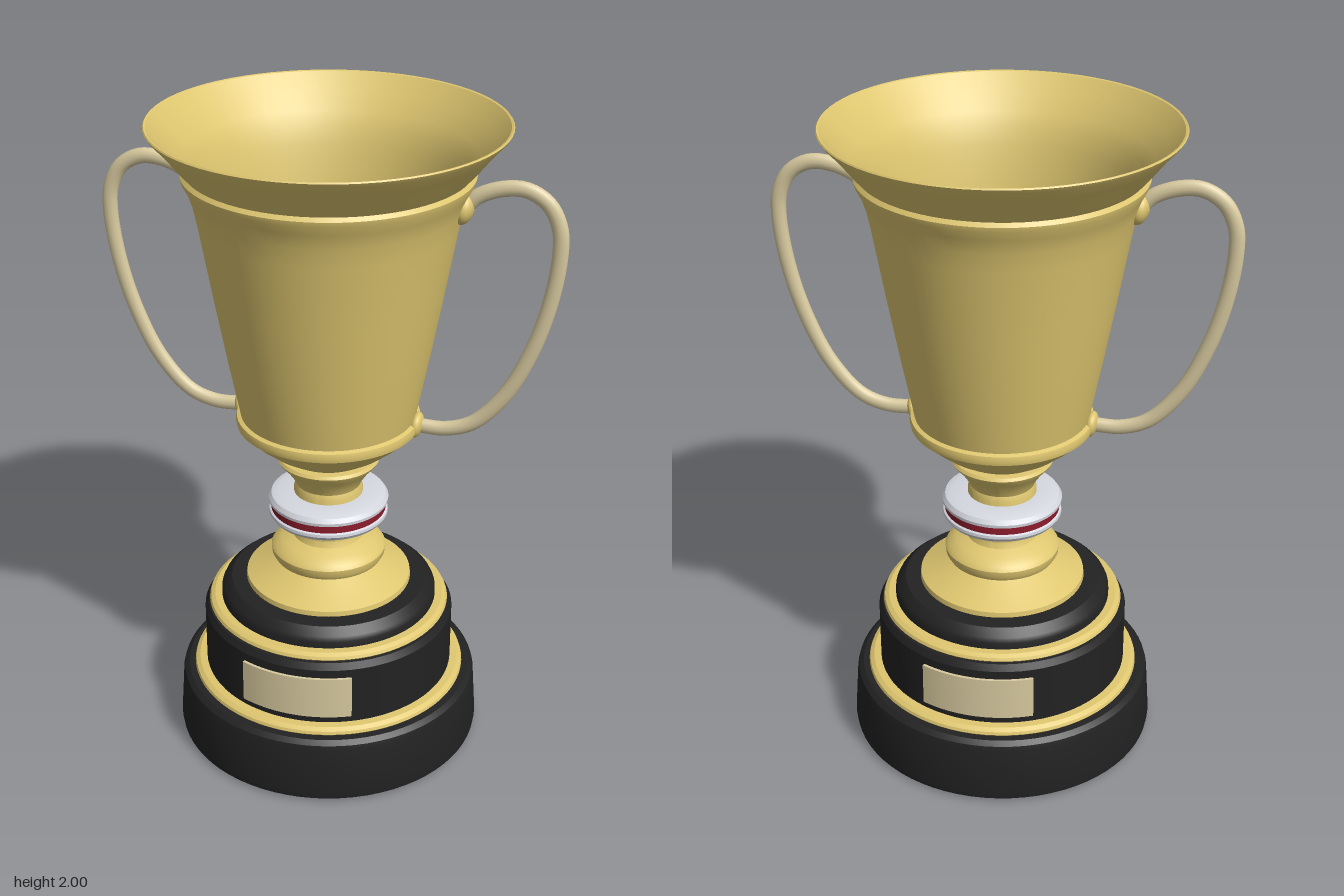
import * as THREE from 'three';
import { toCreasedNormals } from 'three/addons/utils/BufferGeometryUtils.js';

const material = (name, color, side = THREE.FrontSide) => {
  const m = new THREE.MeshStandardMaterial({ color, side });
  m.name = name;
  return m;
};

// Turned part from [radius, y] points listed bottom to top, seen from outside
function turned(name, mat, points, start = 0, length = Math.PI * 2, segments = 72) {
  const profile = points.map(([r, y]) => new THREE.Vector2(r, y));
  const geo = toCreasedNormals(new THREE.LatheGeometry(profile, segments, start, length), 0.45);
  const mesh = new THREE.Mesh(geo, mat);
  mesh.name = name;
  return mesh;
}

export function createModel() {
  const gold = material('gold', 0xdfc770);
  const paleGold = material('pale gold', 0xd9cba0, THREE.DoubleSide);
  const black = material('black', 0x222222);
  const silver = material('silver', 0xd6d8e0);
  const red = material('dark red', 0x8c1c2c);

  const trophy = new THREE.Group();
  trophy.name = 'trophy';

  // Stepped plinth with two gold trim rings
  trophy.add(
    turned('plinthBase', black, [[0, 0], [0.465, 0], [0.477, 0.01], [0.48, 0.03], [0.469, 0.185], [0.465, 0.2], [0.45, 0.212], [0, 0.212]]),
    turned('lowerTrim', gold, [[0.38, 0.208], [0.425, 0.21], [0.431, 0.217], [0.428, 0.226], [0.415, 0.234], [0.38, 0.236]]),
    turned('plinthDrum', black, [[0.392, 0.21], [0.392, 0.425], [0.38, 0.445], [0, 0.445]]),
    turned('upperTrim', gold, [[0.33, 0.442], [0.37, 0.446], [0.377, 0.453], [0.373, 0.462], [0.36, 0.469], [0.3, 0.47]]),
    turned('plinthStep', black, [[0.338, 0.465], [0.337, 0.49], [0.33, 0.505], [0.305, 0.526], [0, 0.526]]),
  );

  // Curved plaques on the front and back of the drum
  const half = Math.asin(0.172 / 0.401);
  for (const [name, angle] of [['frontPlaque', 0], ['backPlaque', Math.PI]]) {
    trophy.add(turned(name, paleGold,
      [[0.392, 0.26], [0.401, 0.26], [0.401, 0.398], [0.392, 0.398]], angle - half, half * 2, 16));
  }

  // Gold foot and stem
  trophy.add(turned('stem', gold, [
    [0.25, 0.525], [0.258, 0.53], [0.256, 0.546], [0.225, 0.56], [0.18, 0.582], [0.15, 0.598],
    [0.168, 0.606], [0.176, 0.62], [0.178, 0.64], [0.17, 0.652], [0.145, 0.668], [0.11, 0.682],
    [0.103, 0.7], [0.106, 0.74], [0.106, 0.845], [0.1, 0.862], [0.108, 0.88], [0.13, 0.913],
    [0.152, 0.938], [0.156, 0.946], [0.15, 0.955], [0.11, 0.957],
  ]));

  // Silver collar with a red band in its groove
  trophy.add(
    turned('lowerCollar', silver, [[0.1, 0.742], [0.155, 0.742], [0.175, 0.75], [0.184, 0.763], [0.183, 0.772], [0.174, 0.777], [0.1, 0.777]]),
    turned('collarBand', red, [[0.177, 0.775], [0.177, 0.798]]),
    turned('upperCollar', silver, [[0.1, 0.796], [0.174, 0.796], [0.184, 0.802], [0.185, 0.812], [0.176, 0.825], [0.155, 0.832], [0.1, 0.832]]),
  );

  // Hollow cup: up the outside, over the rim and down the inside
  trophy.add(turned('cup', gold, [
    [0, 0.95], [0.12, 0.952], [0.15, 0.97], [0.19, 0.996], [0.235, 1.033], [0.268, 1.064],
    [0.276, 1.07], [0.279, 1.085], [0.276, 1.098], [0.264, 1.103],
    [0.3, 1.29], [0.336, 1.49], [0.374, 1.71], [0.386, 1.77], [0.401, 1.815], [0.416, 1.843],
    [0.419, 1.858], [0.41, 1.869],
    [0.437, 1.9], [0.476, 1.95], [0.508, 1.985], [0.515, 1.996], [0.512, 2.0], [0.506, 1.998],
    [0.465, 1.95], [0.426, 1.9], [0.402, 1.86], [0.387, 1.81], [0.376, 1.77], [0.362, 1.7],
    [0.325, 1.49], [0.289, 1.29], [0.258, 1.12], [0.24, 1.07], [0.2, 1.025], [0.14, 0.99],
    [0.07, 0.974], [0, 0.97],
  ]));

  // Handles, each with a flattened tube and two gold sockets
  const path = new THREE.CatmullRomCurve3([
    [0.385, 1.78], [0.43, 1.822], [0.5, 1.849], [0.565, 1.85], [0.625, 1.815], [0.659, 1.75], [0.665, 1.67],
    [0.645, 1.52], [0.6, 1.365], [0.53, 1.22], [0.44, 1.12], [0.36, 1.09], [0.27, 1.09],
  ].map(([x, y]) => new THREE.Vector3(x, y, 0)));
  const tubeGeo = new THREE.TubeGeometry(path, 72, 0.023, 14);
  const socketGeo = new THREE.SphereGeometry(1, 24, 16);

  for (const [name, turn] of [['leftHandle', 0], ['rightHandle', Math.PI]]) {
    const handle = new THREE.Group();
    handle.name = name;
    handle.rotation.y = turn;
    const tube = new THREE.Mesh(tubeGeo, paleGold);
    tube.name = 'handleTube';
    tube.scale.z = 0.78;
    handle.add(tube);
    for (const [part, x, y, rx, r, tilt] of [
      ['upperSocket', 0.391, 1.78, 0.028, 0.046, -0.25],
      ['lowerSocket', 0.271, 1.09, 0.021, 0.04, -0.18],
    ]) {
      const socket = new THREE.Mesh(socketGeo, gold);
      socket.name = part;
      socket.position.set(x, y, 0);
      socket.rotation.z = tilt;
      socket.scale.set(rx, r, r);
      handle.add(socket);
    }
    trophy.add(handle);
  }

  return trophy;
}
